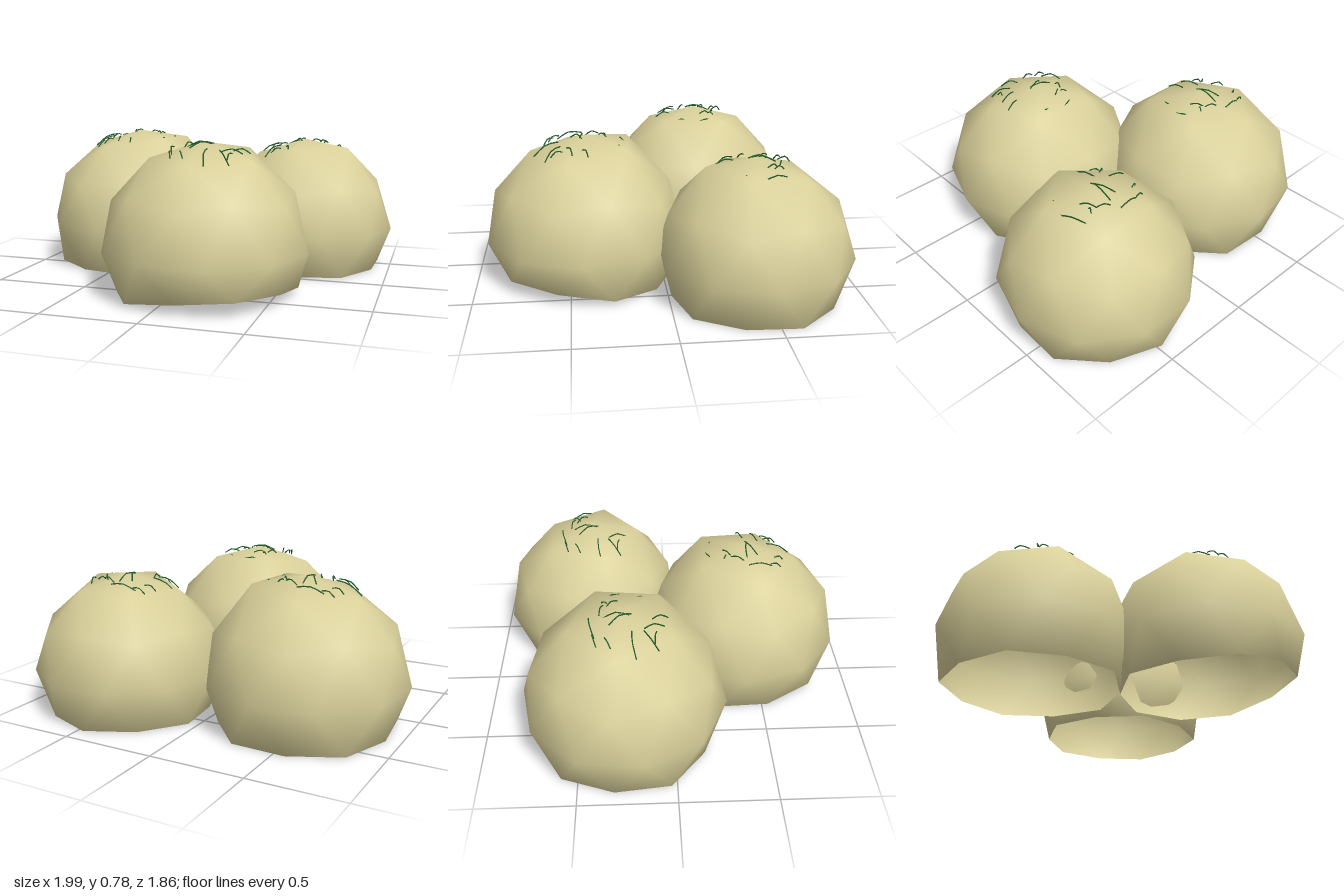
import * as THREE from 'three';

const bodyMat = new THREE.MeshStandardMaterial({ color: 0xd9d09a, side: THREE.DoubleSide });
const bladeMat = new THREE.MeshStandardMaterial({ color: 0x2a6b30, side: THREE.DoubleSide });

// centre, radius, turn of the facets (degrees), turn of the blades, lift of the front rim
const domes = [
  { name: 'leftBackDome', x: -0.47, y: 0.25, z: -0.26, r: 0.535, turn: 7, bladeTurn: 0, lift: 0 },
  { name: 'rightBackDome', x: 0.49, y: 0.23, z: -0.45, r: 0.51, turn: 52, bladeTurn: 0, lift: 0 },
  { name: 'frontDome', x: 0.14, y: 0.25, z: 0.41, r: 0.535, turn: -88, bladeTurn: Math.PI / 2, lift: 0.075 },
];

// blade ends seen from above: x1, z1, x2, z2 in hundredths
const blades = [
  [-14, -13, -1, -16], [-19, -12, -13, -14], [-26, 7, -13, 5], [-20, 18, -12, 11],
  [-17, 16, -11, 17], [-9, 11, -6, 21], [-1, 15, 2, 23], [-7, -6, -1, 5],
  [-1, -9, -2, 4], [1, -11, 8, -9], [7, -8, 12, -2], [10, -6, 12, -10],
  [16, -11, 22, 2], [18, 3, 17, 16], [-21, -5, -16, -8],
];

// Smooth-shaded 42-point sphere, pole up, open below its lower ring
function domeGeometry({ y: cy, r, turn, lift }) {
  const ball = new THREE.IcosahedronGeometry(1, 1);
  ball.rotateZ(Math.atan(2 / (1 + Math.sqrt(5))));
  const src = ball.attributes.position, nor = ball.attributes.normal;
  const pos = [], normals = [];
  const spin = new THREE.Vector3(0, 1, 0), angle = -THREE.MathUtils.degToRad(turn);
  for (let i = 0; i < src.count; i += 3) {
    if (Math.min(src.getY(i), src.getY(i + 1), src.getY(i + 2)) < -0.6) continue;
    for (let k = i; k < i + 3; k++) {
      const p = new THREE.Vector3().fromBufferAttribute(src, k);
      // two points beside the crown stand a little higher
      if (p.y > 0.8 && p.y < 0.95 && p.x > 0) p.y += 0.07;
      p.applyAxisAngle(spin, angle).multiplyScalar(r);
      // rim rests near the ground
      if (p.y < -0.4 * r) {
        const toward = Math.cos(Math.atan2(p.z, p.x) - 0.9);
        p.y = 0.008 - cy + lift * Math.max(0, toward);
      }
      const n = new THREE.Vector3().fromBufferAttribute(nor, k).applyAxisAngle(spin, angle);
      pos.push(p.x, p.y, p.z);
      normals.push(n.x, n.y, n.z);
    }
  }
  const g = new THREE.BufferGeometry();
  g.setAttribute('position', new THREE.Float32BufferAttribute(pos, 3));
  g.setAttribute('normal', new THREE.Float32BufferAttribute(normals, 3));
  return g;
}

// Thin bowed blade lying on the crown
function bladeGeometry([x1, z1, x2, z2], r) {
  const at = (t, raise) => {
    const x = (x1 + (x2 - x1) * t) / 100, z = (z1 + (z2 - z1) * t) / 100;
    return new THREE.Vector3(x, Math.sqrt(r * r - x * x - z * z) + raise, z);
  };
  const mid = at(0.5, 0.004);
  mid.x += (z2 - z1) * 0.0006;
  mid.z -= (x2 - x1) * 0.0006;
  const curve = new THREE.CatmullRomCurve3([at(0, -0.02), mid, at(1, -0.004)]);
  return new THREE.TubeGeometry(curve, 4, 0.004, 3);
}

export function createModel() {
  const model = new THREE.Group();
  model.name = 'domeCluster';
  for (const d of domes) {
    const group = new THREE.Group();
    group.name = d.name;
    group.position.set(d.x, d.y, d.z);
    const shell = new THREE.Mesh(domeGeometry(d), bodyMat);
    shell.name = 'shell';
    const tuft = new THREE.Group();
    tuft.name = 'grassBlades';
    tuft.rotation.y = d.bladeTurn;
    for (const b of blades) {
      const blade = new THREE.Mesh(bladeGeometry(b, d.r), bladeMat);
      blade.name = 'blade';
      tuft.add(blade);
    }
    group.add(shell, tuft);
    model.add(group);
  }
  return model;
}
